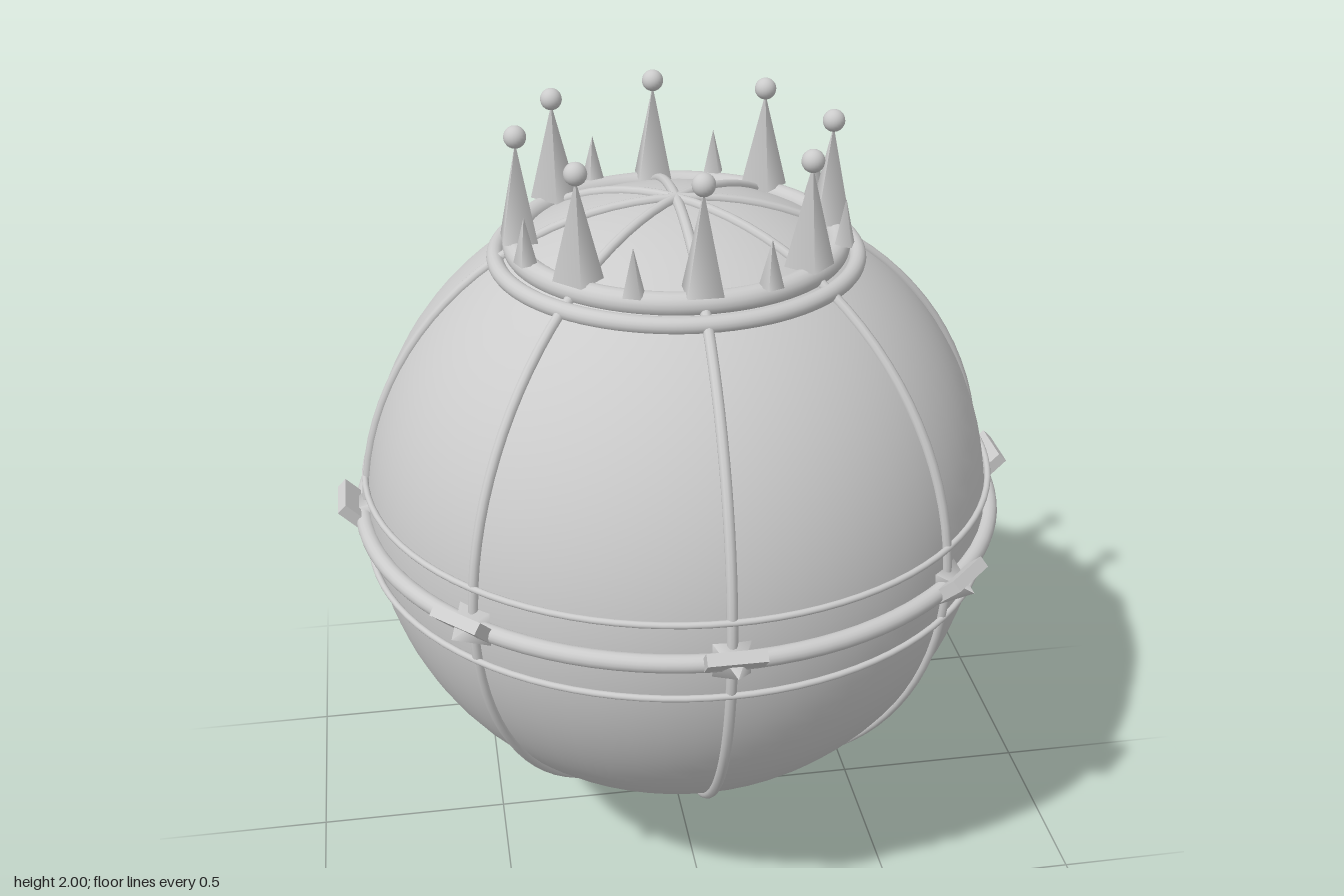
import * as THREE from 'three';

export function createModel() {
  const model = new THREE.Group();
  const mat = new THREE.MeshStandardMaterial({ color: 0xcccccc });

  const add = (parent, name, geometry, x = 0, y = 0, z = 0) => {
    const mesh = new THREE.Mesh(geometry, mat);
    mesh.name = name;
    mesh.position.set(x, y, z);
    parent.add(mesh);
    return mesh;
  };
  // Horizontal ring around the globe
  const ring = (name, y, radius, tube) =>
    add(model, name, new THREE.TorusGeometry(radius, tube, 16, 96).rotateX(Math.PI / 2), 0, y, 0);
  // Square pyramid with flat sides facing x and z, base at y = 0
  const pyramid = (halfWidth, height) =>
    new THREE.ConeGeometry(halfWidth * Math.SQRT2, height, 4)
      .rotateY(Math.PI / 4).translate(0, height / 2, 0);
  // Group turned about the vertical axis; its local +z points outwards
  const spoke = (name, angle) => {
    const g = new THREE.Group();
    g.name = name;
    g.rotation.y = angle;
    model.add(g);
    return g;
  };

  // Globe
  add(model, 'globe', new THREE.SphereGeometry(0.797, 64, 48), 0, 1, 0);

  // Meridian ribs: four full hoops
  for (let i = 0; i < 4; i++) {
    add(model, 'meridianRib', new THREE.TorusGeometry(0.799, 0.013, 10, 96), 0, 1, 0)
      .rotation.y = i * Math.PI / 4;
  }

  // Equator band and its two thin companion rings
  ring('equatorBand', 1.004, 0.81, 0.022);
  ring('upperThinRing', 1.1, 0.8, 0.008);
  ring('lowerThinRing', 0.9, 0.8, 0.008);

  // Crown base rings
  ring('crownLowerRing', 1.665, 0.442, 0.021);
  ring('crownUpperRing', 1.696, 0.394, 0.029);

  const spikeGeo = pyramid(0.042, 0.24);
  const smallSpikeGeo = pyramid(0.021, 0.115);
  const ballGeo = new THREE.SphereGeometry(0.027, 20, 14);
  const claspGeo = new THREE.BoxGeometry(0.138, 0.07, 0.03);
  const studGeo = pyramid(0.048, 0.09).rotateX(Math.PI / 2);

  for (let i = 0; i < 8; i++) {
    const angle = i * Math.PI / 4;

    // Tall crown spike with ball finial
    const spike = spoke('crownSpike', angle);
    add(spike, 'spike', spikeGeo, 0, 1.72, 0.382);
    add(spike, 'spikeBall', ballGeo, 0, 1.973, 0.382);

    // Short spike between the tall ones
    const small = spoke('smallCrownSpike', angle + Math.PI / 8);
    add(small, 'smallSpike', smallSpikeGeo, 0, 1.72, 0.412);

    // Tilted clasp and pointed stud where rib meets equator
    const clasp = spoke('equatorClasp', angle);
    add(clasp, 'claspPlate', claspGeo, 0, 1.025, 0.838).rotation.x = Math.PI / 4;
    add(clasp, 'claspStud', studGeo, 0, 1.0, 0.787);
  }

  // Bottom spike, pointing down
  add(model, 'bottomSpike', new THREE.ConeGeometry(0.046, 0.21, 16).rotateX(Math.PI), 0, 0.105, 0);

  return model;
}
